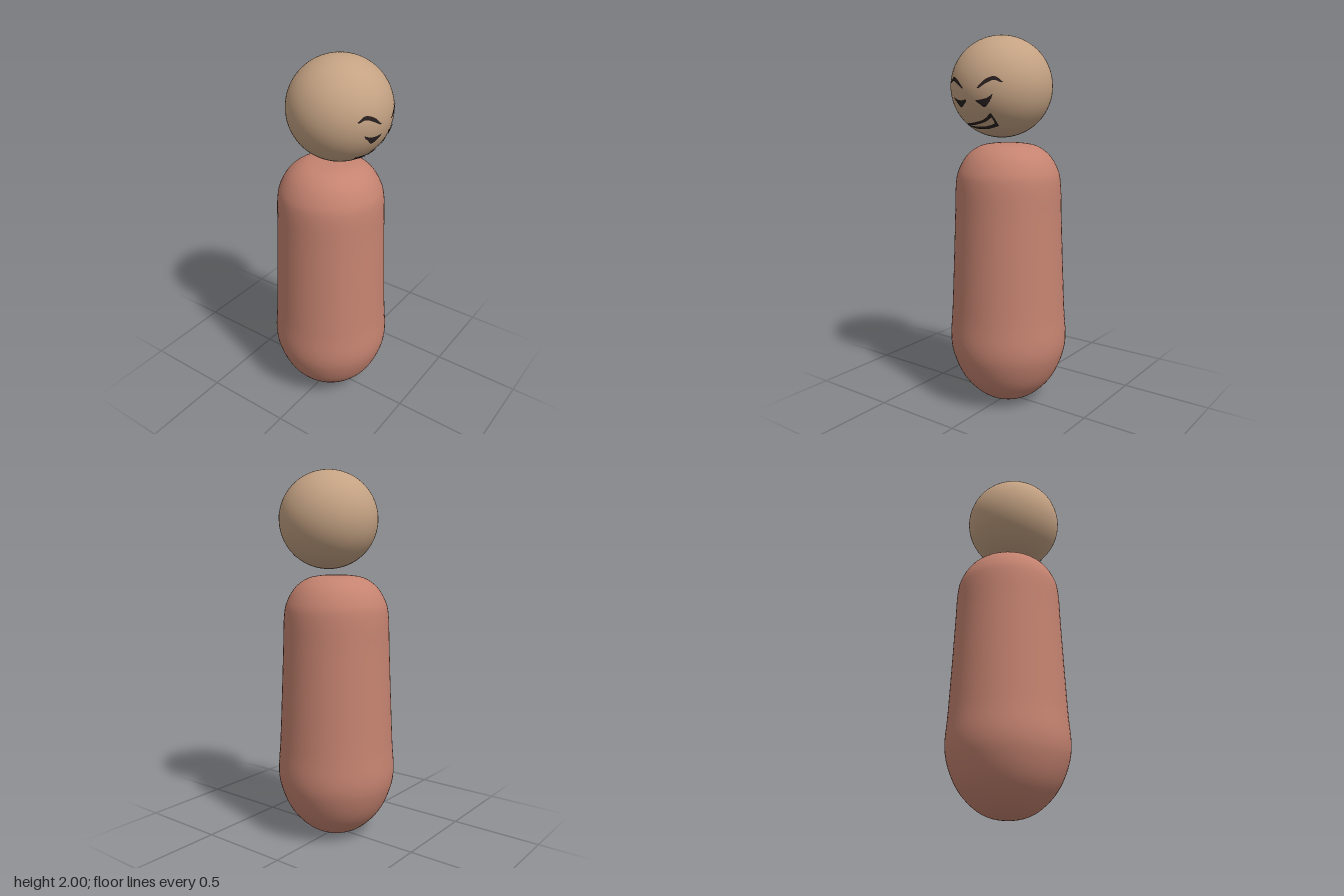
import * as THREE from 'three';
import { ParametricGeometry } from 'three/addons/geometries/ParametricGeometry.js';

const skin = new THREE.MeshStandardMaterial({ name: 'skin', color: 0xc4a283 });
const clay = new THREE.MeshStandardMaterial({ name: 'clay', color: 0xc58370 });
const ink = new THREE.MeshStandardMaterial({ name: 'ink', color: 0x2a2020, side: THREE.DoubleSide });

const HEAD = new THREE.Vector3(-0.003, 1.738, 0.055);
const RADII = new THREE.Vector3(0.267, 0.262, 0.267);

// smooth curve through flat [x, y] points
const curve = (pts) => new THREE.CatmullRomCurve3(pts.map(([x, y]) => new THREE.Vector3(x, y, 0)));

// painted strip between two curves, wrapped just above the front of the head
function faceStrip(name, upper, lower) {
  const a = curve(upper), b = curve(lower);
  const p = new THREE.Vector3(), q = new THREE.Vector3();
  const lift = 0.003;
  const geo = new ParametricGeometry((u, v, out) => {
    a.getPoint(u, p);
    b.getPoint(u, q);
    p.lerp(q, v);
    const nx = (p.x - HEAD.x) / (RADII.x + lift);
    const ny = (p.y - HEAD.y) / (RADII.y + lift);
    const nz = Math.sqrt(Math.max(0, 1 - nx * nx - ny * ny));
    out.set(p.x, p.y, HEAD.z + nz * (RADII.z + lift));
  }, 20, 6);
  const mesh = new THREE.Mesh(geo, ink);
  mesh.name = name;
  return mesh;
}

export function createModel() {
  const model = new THREE.Group();
  model.name = 'pegFigure';

  // rounded, slightly tapering body
  const profile = new THREE.SplineCurve([
    [0, 0], [0.09, 0.012], [0.17, 0.055], [0.25, 0.14], [0.302, 0.25], [0.323, 0.36],
    [0.313, 0.53], [0.301, 0.8], [0.291, 1.05], [0.284, 1.23], [0.265, 1.31],
    [0.22, 1.382], [0.155, 1.428], [0.08, 1.444], [0, 1.447],
  ].map(([x, y]) => new THREE.Vector2(x, y)));
  const outline = profile.getPoints(70);
  outline.forEach((p) => { p.x = Math.max(0, p.x); p.y = Math.max(0, p.y); });
  const body = new THREE.Mesh(new THREE.LatheGeometry(outline, 64), clay);
  body.name = 'body';
  model.add(body);

  // floating head, set forward of the body
  const head = new THREE.Mesh(new THREE.SphereGeometry(1, 64, 48), skin);
  head.name = 'head';
  head.scale.copy(RADII);
  head.position.copy(HEAD);
  model.add(head);

  const face = new THREE.Group();
  face.name = 'face';
  model.add(face);

  // slanted brows
  face.add(faceStrip('rightBrow',
    [[-0.168, 1.76], [-0.135, 1.784], [-0.095, 1.773], [-0.046, 1.73]],
    [[-0.162, 1.755], [-0.132, 1.766], [-0.1, 1.753], [-0.054, 1.727]]));
  face.add(faceStrip('leftBrow',
    [[0.04, 1.73], [0.085, 1.772], [0.126, 1.785], [0.162, 1.757]],
    [[0.049, 1.727], [0.09, 1.753], [0.124, 1.767], [0.154, 1.755]]));

  // narrowed eyes: lid line and half-hidden pupil
  face.add(faceStrip('rightLid',
    [[-0.136, 1.688], [-0.1, 1.673], [-0.065, 1.67], [-0.032, 1.675]],
    [[-0.122, 1.667], [-0.1, 1.66], [-0.065, 1.657], [-0.036, 1.66]]));
  face.add(faceStrip('rightPupil',
    [[-0.113, 1.665], [-0.08, 1.662], [-0.045, 1.66]],
    [[-0.112, 1.66], [-0.08, 1.635], [-0.046, 1.655]]));
  face.add(faceStrip('leftLid',
    [[0.026, 1.67], [0.06, 1.675], [0.09, 1.683], [0.118, 1.703]],
    [[0.036, 1.658], [0.06, 1.659], [0.09, 1.666], [0.108, 1.678]]));
  face.add(faceStrip('leftPupil',
    [[0.038, 1.662], [0.07, 1.665], [0.102, 1.674]],
    [[0.039, 1.658], [0.068, 1.637], [0.101, 1.667]]));

  // crooked grin drawn as an outline
  face.add(faceStrip('upperLip',
    [[-0.104, 1.552], [-0.03, 1.56], [0.04, 1.577], [0.088, 1.609]],
    [[-0.1, 1.543], [-0.03, 1.548], [0.04, 1.564], [0.09, 1.59]]));
  face.add(faceStrip('lowerLip',
    [[-0.102, 1.547], [-0.04, 1.539], [0.03, 1.541], [0.095, 1.559]],
    [[-0.098, 1.538], [-0.04, 1.527], [0.03, 1.527], [0.095, 1.544]]));
  face.add(faceStrip('mouthCorner',
    [[0.08, 1.602], [0.085, 1.575], [0.082, 1.548]],
    [[0.09, 1.608], [0.096, 1.575], [0.095, 1.546]]));

  return model;
}
